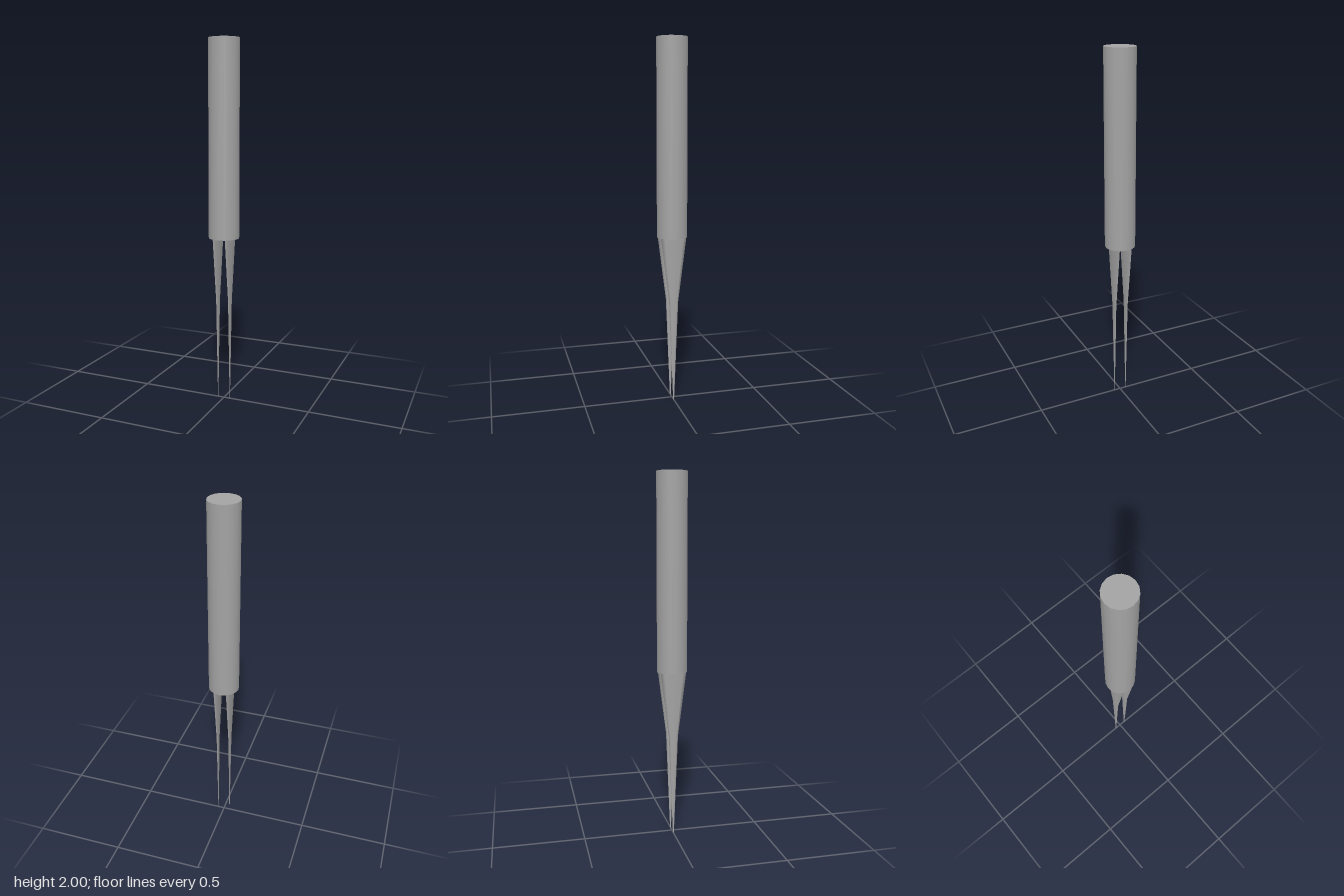
import * as THREE from 'three';

const HANDLE_BOTTOM = 0.93;
const HANDLE_RADIUS = 0.084;

export function createModel() {
  const model = new THREE.Group();
  const grey = new THREE.MeshStandardMaterial({ color: 0xa3a3a3 });

  // Round handle with closed ends
  const height = 2 - HANDLE_BOTTOM;
  const handle = new THREE.Mesh(new THREE.CylinderGeometry(HANDLE_RADIUS, HANDLE_RADIUS, height, 16), grey);
  handle.name = 'handle';
  handle.position.y = HANDLE_BOTTOM + height / 2;
  model.add(handle);

  // Two flattened prongs of lens section, tapering to fine points
  const profile = [[0, 0], [0.003, 0], [0.026, 0.57], [0.072, HANDLE_BOTTOM]].map(([r, y]) => new THREE.Vector2(r, y));
  const prongGeometry = new THREE.LatheGeometry(profile, 8).scale(0.2, 1, 1);
  for (const [name, side] of [['leftProng', 1], ['rightProng', -1]]) {
    const prong = new THREE.Mesh(prongGeometry, grey);
    prong.name = name;
    prong.position.x = side * 0.036;
    model.add(prong);
  }
  return model;
}
